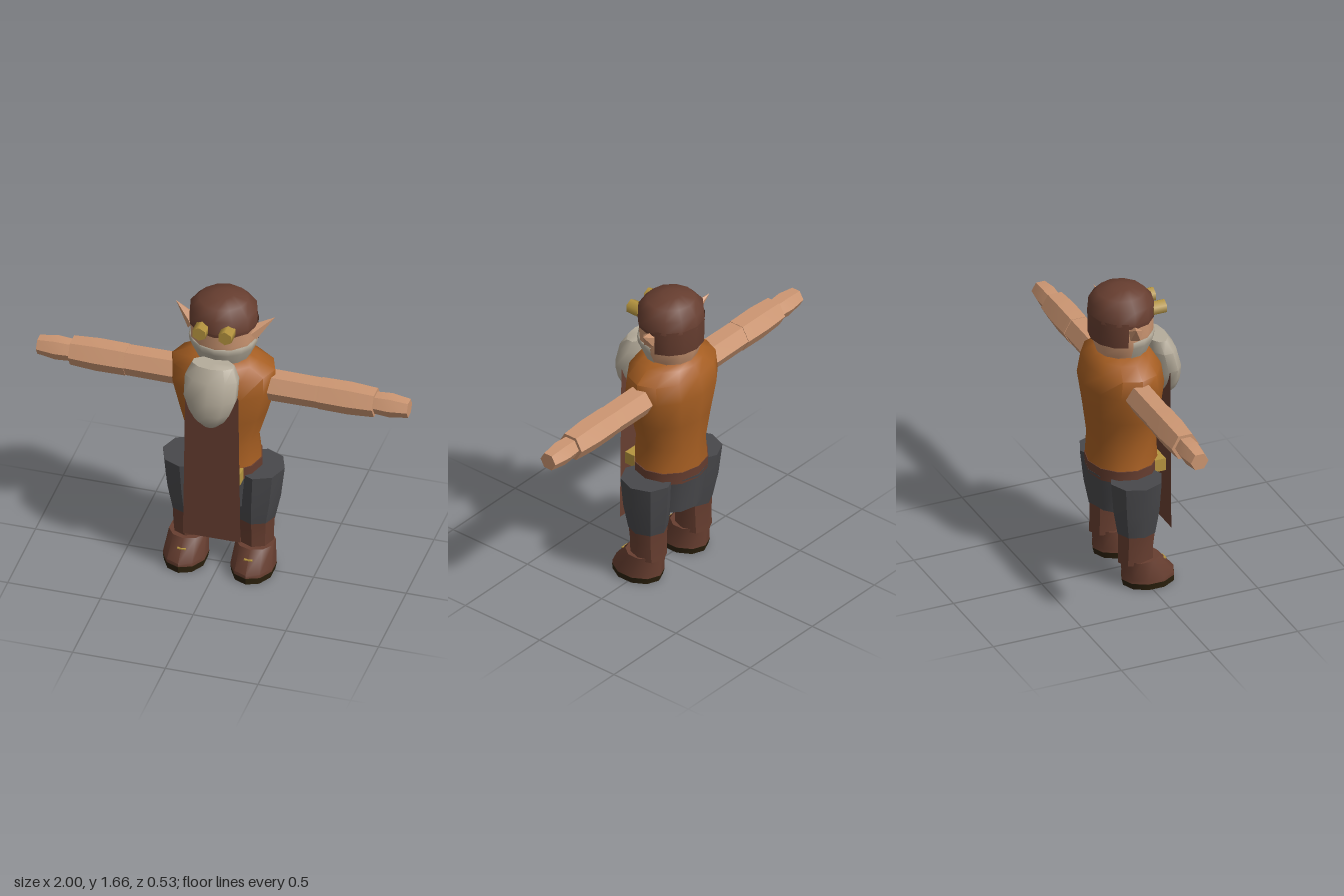
import * as THREE from 'three';
import { toCreasedNormals } from 'three/addons/utils/BufferGeometryUtils.js';

const paint = (name, color, side = THREE.FrontSide) => {
  const m = new THREE.MeshStandardMaterial({ color, side });
  m.name = name;
  return m;
};

// Closed skin through elliptical rings [y, centreX, centreZ, radiusX, radiusZ], lowest ring first
function loft(rings, sides, crease = 0.75) {
  const pos = [], index = [];
  for (const [y, cx, cz, rx, rz] of rings) {
    for (let i = 0; i < sides; i++) {
      const a = (i / sides) * Math.PI * 2;
      pos.push(cx + Math.sin(a) * rx, y, cz + Math.cos(a) * rz);
    }
  }
  const last = rings.length - 1, bottom = rings.length * sides, top = bottom + 1;
  for (const r of [rings[0], rings[last]]) pos.push(r[1], r[0], r[2]);
  for (let i = 0; i < sides; i++) {
    const j = (i + 1) % sides;
    for (let k = 0; k < last; k++) {
      const a = k * sides + i, b = k * sides + j;
      index.push(a, b, b + sides, a, b + sides, a + sides);
    }
    index.push(bottom, j, i, top, last * sides + i, last * sides + j);
  }
  const g = new THREE.BufferGeometry();
  g.setAttribute('position', new THREE.Float32BufferAttribute(pos, 3));
  g.setIndex(index);
  return toCreasedNormals(g, crease);
}

export function createModel() {
  const model = new THREE.Group();
  model.name = 'bearded craftsman';

  const skin = paint('skin', 0xcc9672);
  const tunic = paint('orange tunic', 0xa65e22);
  const leather = paint('brown leather', 0x673e30, THREE.DoubleSide);
  const cloth = paint('grey trousers', 0x48484b);
  const hair = paint('grey beard', 0xb5ac9b, THREE.DoubleSide);
  const brass = paint('brass', 0xb5943f);
  const soleMat = paint('dark sole', 0x2c210d);

  const add = (name, geometry, material, x = 0, y = 0, z = 0) => {
    const mesh = new THREE.Mesh(geometry, material);
    mesh.name = name;
    mesh.position.set(x, y, z);
    model.add(mesh);
    return mesh;
  };
  // Open shell around the head, from profile points [radius, y]
  const shell = (points, sides, start, sweep) => {
    const g = new THREE.LatheGeometry(points.map(p => new THREE.Vector2(...p)), sides, start, sweep);
    return g.scale(1, 1, 0.95);
  };

  // Torso, belt and hips
  add('torso', loft([
    [0.66, 0, -0.05, 0.205, 0.185], [0.8, 0, -0.05, 0.187, 0.18],
    [0.96, 0, -0.05, 0.235, 0.195], [1.13, 0, -0.053, 0.283, 0.213],
    [1.235, 0, -0.052, 0.278, 0.193], [1.285, 0, -0.047, 0.19, 0.16],
    [1.31, 0, -0.045, 0.14, 0.135],
  ], 12, 1.0), tunic);
  add('belt', loft([[0.6, 0, -0.05, 0.208, 0.184], [0.67, 0, -0.05, 0.21, 0.188]], 12), leather);
  add('buckle', new THREE.BoxGeometry(0.29, 0.07, 0.06), brass, 0, 0.637, 0.108);
  add('hips', loft([[0.41, 0, -0.05, 0.175, 0.163], [0.62, 0, -0.05, 0.205, 0.186]], 12), cloth);

  // Apron: one flat hanging sheet
  const sheet = new THREE.Shape();
  sheet.moveTo(-0.155, 0.26).lineTo(0.155, 0.26).lineTo(0.143, 1.17).lineTo(-0.143, 1.17);
  add('apron', new THREE.ShapeGeometry(sheet), leather, 0, 0, 0.165);

  // Head, jaw beard, back hair and cap
  add('head', loft([
    [1.28, 0, -0.05, 0.13, 0.125], [1.32, 0, -0.05, 0.145, 0.14],
    [1.38, 0, -0.05, 0.171, 0.16], [1.43, 0, -0.05, 0.176, 0.166], [1.55, 0, -0.05, 0.174, 0.164],
  ], 12, 1.0), skin);
  add('jaw beard', shell([[0.135, 1.285], [0.15, 1.32], [0.178, 1.38], [0.182, 1.415], [0.168, 1.415]],
    8, -1.63, 3.26), hair, 0, 0, -0.05);
  add('back hair', shell([[0.165, 1.39], [0.18, 1.39], [0.183, 1.53]], 6, 1.78, 2.72), leather, 0, 0, -0.05);
  add('cap', loft([
    [1.515, 0, -0.05, 0.183, 0.174], [1.59, 0, -0.05, 0.178, 0.168],
    [1.638, 0, -0.05, 0.13, 0.125], [1.66, 0, -0.05, 0.05, 0.05],
  ], 12, 1.0), leather);
  add('goggle strap', shell([[0.179, 1.495], [0.181, 1.53]], 12), leather, 0, 0, -0.05);

  // Hanging beard
  add('long beard', loft([
    [0.995, 0, 0.2, 0.035, 0.022], [1.04, 0, 0.198, 0.085, 0.058],
    [1.09, 0, 0.193, 0.115, 0.075], [1.17, 0, 0.185, 0.145, 0.083],
    [1.28, 0, 0.158, 0.147, 0.08], [1.345, 0, 0.138, 0.115, 0.058],
  ], 10, 1.0), hair);

  for (const s of [1, -1]) {
    const side = s > 0 ? 'left' : 'right';

    // Goggle lens barrel
    add(side + ' goggle', new THREE.CylinderGeometry(0.04, 0.04, 0.075, 6).rotateX(Math.PI / 2),
      brass, s * 0.07, 1.532, 0.126);

    // Pointed ear
    const base = new THREE.Vector3(s * 0.155, 1.455, -0.042);
    const tip = new THREE.Vector3(s * 0.268, 1.542, -0.085);
    const dir = tip.clone().sub(base), length = dir.length();
    const ear = add(side + ' ear', toCreasedNormals(
      new THREE.ConeGeometry(0.045, length, 5).translate(0, length / 2, 0), 0.5), skin, ...base.toArray());
    ear.quaternion.setFromUnitVectors(new THREE.Vector3(0, 1, 0), dir.normalize());

    // Arm in three six-sided sections of [distance out, radius]
    const sections = {
      'upper arm': [[0.2, 0.08], [0.28, 0.083], [0.52, 0.081]],
      forearm: [[0.52, 0.084], [0.68, 0.086], [0.82, 0.077]],
      hand: [[0.815, 0.058], [0.9, 0.064], [1, 0.05]],
    };
    for (const [part, steps] of Object.entries(sections)) {
      const g = loft(steps.map(([d, r]) => [d, 0, 0, r, r]), 6).rotateZ(-Math.PI / 2);
      if (s < 0) g.rotateY(Math.PI);
      add(`${side} ${part}`, g, skin, 0, 1.133, -0.056);
    }

    // Trouser leg, boot, sole and boot clasp
    const x = s * 0.18;
    add(side + ' trouser leg', loft([
      [0.31, x, -0.045, 0.1, 0.106], [0.45, s * 0.188, -0.048, 0.122, 0.13],
      [0.62, s * 0.197, -0.052, 0.132, 0.143],
    ], 8), cloth);
    add(side + ' boot shaft', loft([
      [0.14, x, -0.05, 0.09, 0.1], [0.24, x, -0.048, 0.093, 0.098], [0.315, x, -0.045, 0.098, 0.104],
    ], 8), leather);
    add(side + ' boot foot', loft([
      [0.035, s * 0.182, 0.018, 0.117, 0.147], [0.055, s * 0.182, 0.018, 0.116, 0.146],
      [0.16, x, -0.027, 0.104, 0.103],
    ], 10), leather);
    add(side + ' sole', loft([
      [0, s * 0.182, 0.022, 0.111, 0.142], [0.036, s * 0.182, 0.018, 0.118, 0.148],
    ], 10), soleMat);
    add(side + ' boot clasp', new THREE.BoxGeometry(0.045, 0.006, 0.04), brass, x, 0.117, 0.095);
  }
  return model;
}
